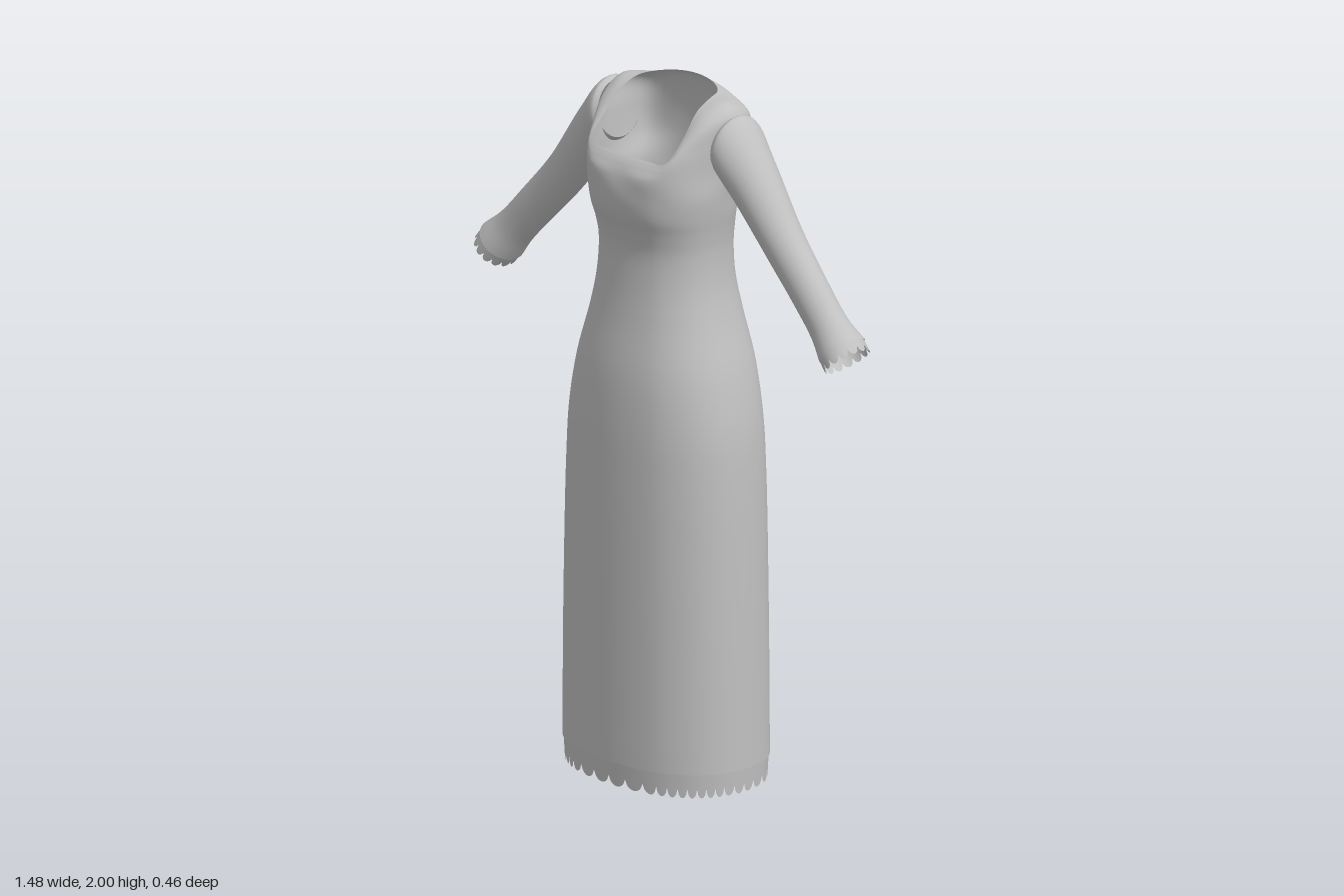
import * as THREE from 'three';

const fabric = new THREE.MeshStandardMaterial({ color: 0xc0c0c0, side: THREE.DoubleSide });
fabric.name = 'grey fabric';

const V = (x, y, z) => new THREE.Vector3(x, y, z);

// Skin a list of closed loops (arrays of equal length) with smooth normals
function skin(name, loops) {
  const n = loops[0].length, index = [];
  for (let r = 0; r < loops.length - 1; r++) {
    for (let c = 0; c < n; c++) {
      const a = r * n + c, b = r * n + (c + 1) % n;
      index.push(a, b, a + n, b, b + n, a + n);
    }
  }
  const geo = new THREE.BufferGeometry().setFromPoints(loops.flat());
  geo.setIndex(index);
  geo.computeVertexNormals();
  const mesh = new THREE.Mesh(geo, fabric);
  mesh.name = name;
  return mesh;
}

// Smooth between the loops along their length
function refine(loops, rows) {
  const columns = loops[0].map((_, c) => new THREE.CatmullRomCurve3(loops.map(l => l[c])).getPoints(rows));
  return Array.from({ length: rows + 1 }, (_, r) => columns.map(col => col[r]));
}

// Mirror half a loop (front centre to back centre) and round it off
function mirroredLoop(half, count = 64) {
  const pts = half.map(p => V(...p));
  for (let i = half.length - 2; i > 0; i--) pts.push(V(-half[i][0], half[i][1], half[i][2]));
  return new THREE.CatmullRomCurve3(pts, true).getPoints(count).slice(0, count);
}

// Oval body section: height, half width, front z, back z
const angles = [0, 25, 42, 58, 74, 92, 120, 150, 180];
const soften = v => Math.sign(v) * Math.abs(v) ** 0.88;
function section([y, w, front, back]) {
  return angles.map(deg => {
    const a = THREE.MathUtils.degToRad(deg), c = soften(Math.cos(a));
    return [w * soften(Math.sin(a)), y, c > 0 ? c * front : -c * back];
  });
}

// Scalloped strip between two loops; the lower loop is pulled back between the lobes
function scallops(name, top, bottom, lobes, depth) {
  const n = top.length;
  const edge = bottom.map((p, i) => {
    const lobe = Math.abs(Math.sin(Math.PI * lobes * i / n));
    return p.clone().lerp(top[i], depth * (1 - Math.sqrt(lobe)));
  });
  return skin(name, [top, edge]);
}

function sleeve(side) {
  const group = new THREE.Group();
  group.name = side > 0 ? 'leftSleeve' : 'rightSleeve';
  // Centre x, y, z, half axis x, y, half depth
  const ring = ([x, y, z, hx, hy, hz], n = 32) => Array.from({ length: n }, (_, i) => {
    const a = i / n * Math.PI * 2 * side;
    return V(side * (x + Math.cos(a) * hx), y + Math.cos(a) * hy, z + Math.sin(a) * hz);
  });
  const rings = [
    [0.222, 1.866, -0.035, 0.012, 0.082, 0.082],
    [0.24, 1.862, -0.035, 0.014, 0.093, 0.092],
    [0.31, 1.783, -0.036, 0.025, 0.083, 0.079],
    [0.438, 1.62, -0.035, 0.032, 0.058, 0.061],
    [0.54, 1.51, -0.03, 0.038, 0.046, 0.055],
    [0.62, 1.425, -0.026, 0.044, 0.039, 0.057],
    [0.672, 1.373, -0.023, 0.051, 0.045, 0.073],
  ].map(r => ring(r));
  group.add(skin('sleeveTube', refine(rings, 36)));
  // Scalloped cuff
  group.add(scallops('cuffTrim',
    ring([0.668, 1.377, -0.023, 0.048, 0.043, 0.071], 112),
    ring([0.695, 1.345, -0.022, 0.047, 0.042, 0.074], 112), 14, 0.45));
  return group;
}

export function createModel() {
  const dress = new THREE.Group();
  dress.name = 'dress';

  // Skirt, waist and bust
  const lower = [
    [0.07, 0.319, 0.23, -0.228], [0.5, 0.315, 0.228, -0.226], [0.9, 0.305, 0.223, -0.223],
    [1.05, 0.294, 0.219, -0.22], [1.2, 0.265, 0.207, -0.213], [1.35, 0.222, 0.18, -0.187],
    [1.45, 0.202, 0.166, -0.168], [1.55, 0.198, 0.161, -0.16], [1.61, 0.204, 0.174, -0.161],
    [1.66, 0.212, 0.192, -0.163], [1.72, 0.219, 0.2, -0.165],
  ].map(section);

  // Yoke, from above the bust to the square neckline
  const upper = [
    [[0, 1.775, 0.19], [0.09, 1.78, 0.188], [0.145, 1.785, 0.165], [0.19, 1.79, 0.11], [0.215, 1.79, 0.04],
      [0.224, 1.79, -0.035], [0.2, 1.79, -0.125], [0.1, 1.8, -0.155], [0, 1.8, -0.163]],
    [[0, 1.805, 0.175], [0.085, 1.805, 0.173], [0.148, 1.812, 0.158], [0.185, 1.85, 0.11], [0.215, 1.865, 0.045],
      [0.228, 1.87, -0.035], [0.205, 1.87, -0.128], [0.1, 1.875, -0.155], [0, 1.88, -0.158]],
    [[0, 1.818, 0.164], [0.085, 1.818, 0.162], [0.15, 1.822, 0.153], [0.178, 1.885, 0.1], [0.21, 1.93, 0.04],
      [0.233, 1.945, -0.035], [0.2, 1.935, -0.125], [0.1, 1.945, -0.143], [0, 1.95, -0.146]],
    [[0, 1.823, 0.158], [0.085, 1.823, 0.157], [0.15, 1.827, 0.15], [0.166, 1.895, 0.093], [0.182, 1.955, 0.03],
      [0.2, 1.978, -0.035], [0.17, 1.968, -0.105], [0.09, 1.98, -0.13], [0, 1.985, -0.134]],
    [[0, 1.826, 0.154], [0.085, 1.826, 0.153], [0.146, 1.832, 0.147], [0.156, 1.9, 0.085], [0.148, 1.96, 0.025],
      [0.142, 1.983, -0.03], [0.122, 1.988, -0.08], [0.07, 1.996, -0.11], [0, 2, -0.12]],
  ];
  const loops = [...lower, ...upper].map(half => mirroredLoop(half));
  dress.add(skin('gown', refine(loops, 90)));

  // Scalloped hem, set just inside the skirt
  const hemTop = mirroredLoop(section([0.075, 0.316, 0.227, -0.225]), 320);
  const hemEdge = mirroredLoop(section([0, 0.312, 0.223, -0.221]), 320);
  dress.add(scallops('hemTrim', hemTop, hemEdge, 40, 0.36));

  for (const side of [1, -1]) dress.add(sleeve(side));
  return dress;
}
